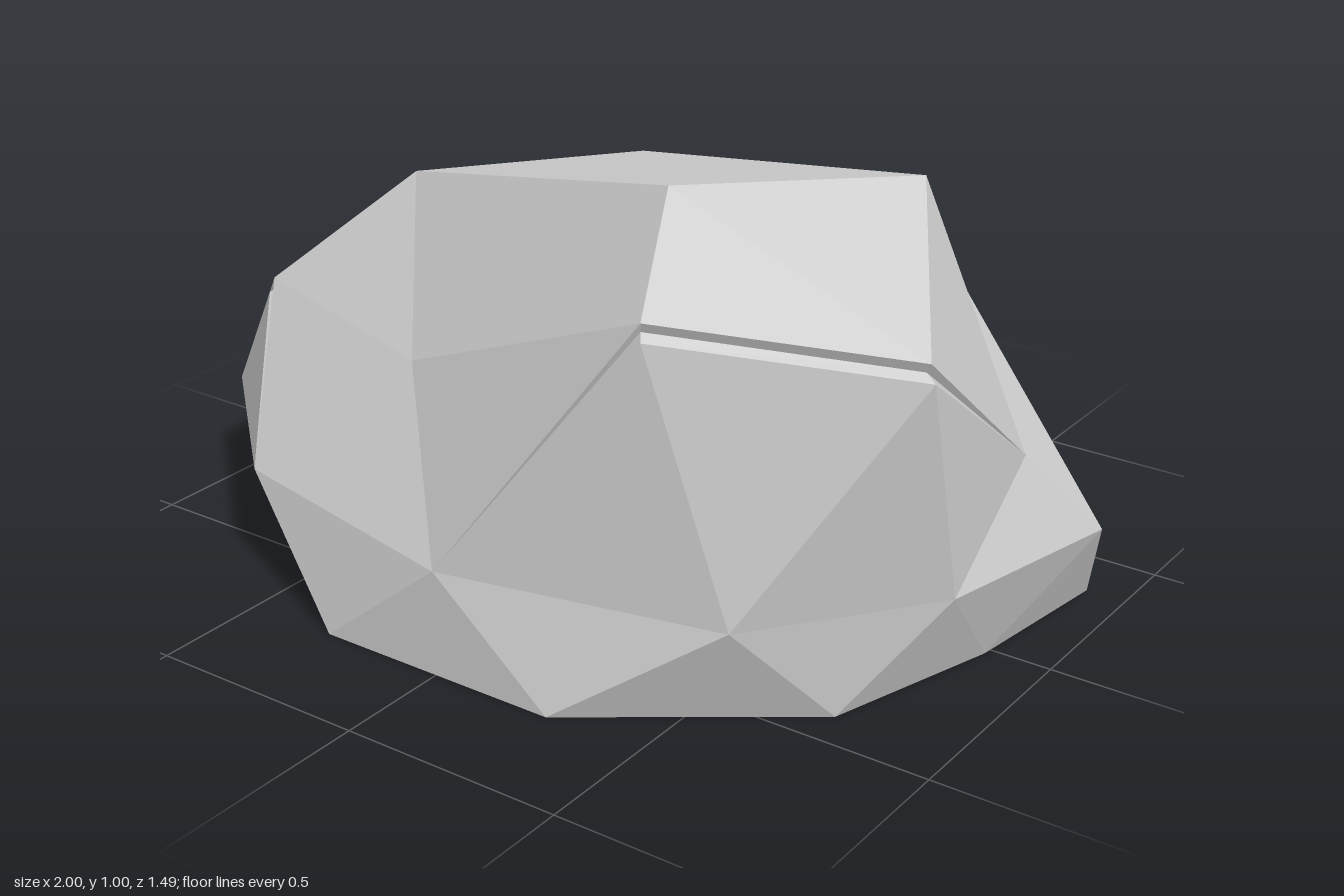
import * as THREE from 'three';

// Rings run round the rock in 36 degree steps, from +x towards +z.
const foot = [[0.86, 0.02], [0.74, 0.41], [0.28, 0.74], [-0.29, 0.74], [-0.74, 0.4],
  [-0.94, 0.03], [-0.74, -0.34], [-0.29, -0.74], [0.27, -0.74], [0.91, -0.35]]
  .map(([x, z]) => [x, 0, z]);
const belt = [[0.9, 0.24], [0.62, 0.61], [0, 0.74], [-0.62, 0.6], [-1, 0.25],
  [-1, -0.2], [-0.62, -0.6], [0, -0.75], [0.62, -0.61], [1, -0.2]]
  .map(([x, z]) => [x, 0.235, z]);
const shoulder = [[0.89, 0.43, -0.05], [0.91, 0.74, 0.38], [0.43, 0.79, 0.63], [-0.27, 0.53, 0.47],
  [-0.75, 0.55, 0.39], [-0.87, 0.46, 0.03], [-0.75, 0.46, -0.29], [-0.27, 0.59, -0.64],
  [0.28, 0.56, -0.65], [0.6, 0.71, -0.25]];
const crown = { 0: [0.68, 1, 0.03], 2: [0.31, 1, 0.37], 4: [-0.44, 0.85, 0.24],
  6: [-0.44, 0.57, -0.19], 8: [0.16, 0.82, -0.32] };
const peak = [0, 0.92, 0.02];

// Cracks: each path keeps its lower edge; the upper edge is lifted and set back.
const E = belt, A = shoulder;
const cracks = [
  [E[2], A[2], A[1]],
  [E[9], E[8], A[8], E[7], A[7], E[6], E[5], E[4], A[4], E[3]],
];
const closed = new Set([E[2], E[9], E[3]]); // where a crack tapers out
const split = new Set(cracks.flat().filter((p) => !closed.has(p)));
const offset = ([x, y, z], s, dy) => [x * s, y + dy, z * s];
const upper = (p) => (split.has(p) ? offset(p, 0.985, 0.035) : p);
const groove = (p) => (split.has(p) ? offset(p, 0.972, 0.014) : p);

function facetMesh(name, triangles) {
  const geometry = new THREE.BufferGeometry();
  geometry.setAttribute('position', new THREE.Float32BufferAttribute(triangles.flat(2), 3));
  geometry.computeVertexNormals();
  const mesh = new THREE.Mesh(geometry, new THREE.MeshStandardMaterial({
    color: 0xcccccc, flatShading: true, roughness: 0.9 }));
  mesh.name = name;
  return mesh;
}

export function createModel() {
  const group = new THREE.Group();
  group.name = 'rock';
  const base = [], body = [], top = [], seams = [];
  const lowerFacets = new Set([1, 2, 4, 7, 8]); // belt facets beneath a crack

  for (let k = 0; k < 10; k++) {
    const n = (k + 1) % 10, p = (k + 9) % 10;
    // Flat underside and the sloping foot band
    base.push([[0, 0, 0], foot[k], foot[n]]);
    base.push([foot[n], foot[k], E[k]], [foot[k], E[p], E[k]]);
    // Side facets
    const up = [E[k], E[p], A[k]];
    body.push(lowerFacets.has(k) ? up : up.map(upper));
    const down = [E[k], A[k], A[n]];
    body.push(k < 2 ? down : down.map(upper));
    // Crown facets
    if (k % 2 === 0) {
      top.push([A[n], A[k], crown[k]].map(upper), [A[k], A[p], crown[k]].map(upper));
      top.push([crown[(k + 2) % 10], crown[k], peak]);
    } else {
      top.push([upper(A[k]), crown[p], crown[n]]);
    }
  }

  // Narrow ledges sunk along each crack
  const strip = (a, b, c, d) => seams.push([a, b, c], [a, c, d]);
  for (const path of cracks) {
    for (let i = 0; i < path.length - 1; i++) {
      const a = path[i], b = path[i + 1];
      strip(a, b, groove(b), groove(a));
      strip(groove(a), groove(b), upper(b), upper(a));
    }
  }
  // Close the open end of the front crack
  seams.push([A[1], A[0], groove(A[1])], [groove(A[1]), A[0], upper(A[1])]);

  group.add(facetMesh('base', base), facetMesh('sides', body), facetMesh('crown', top));
  const crackMesh = facetMesh('cracks', seams);
  crackMesh.material.side = THREE.DoubleSide;
  group.add(crackMesh);
  return group;
}
